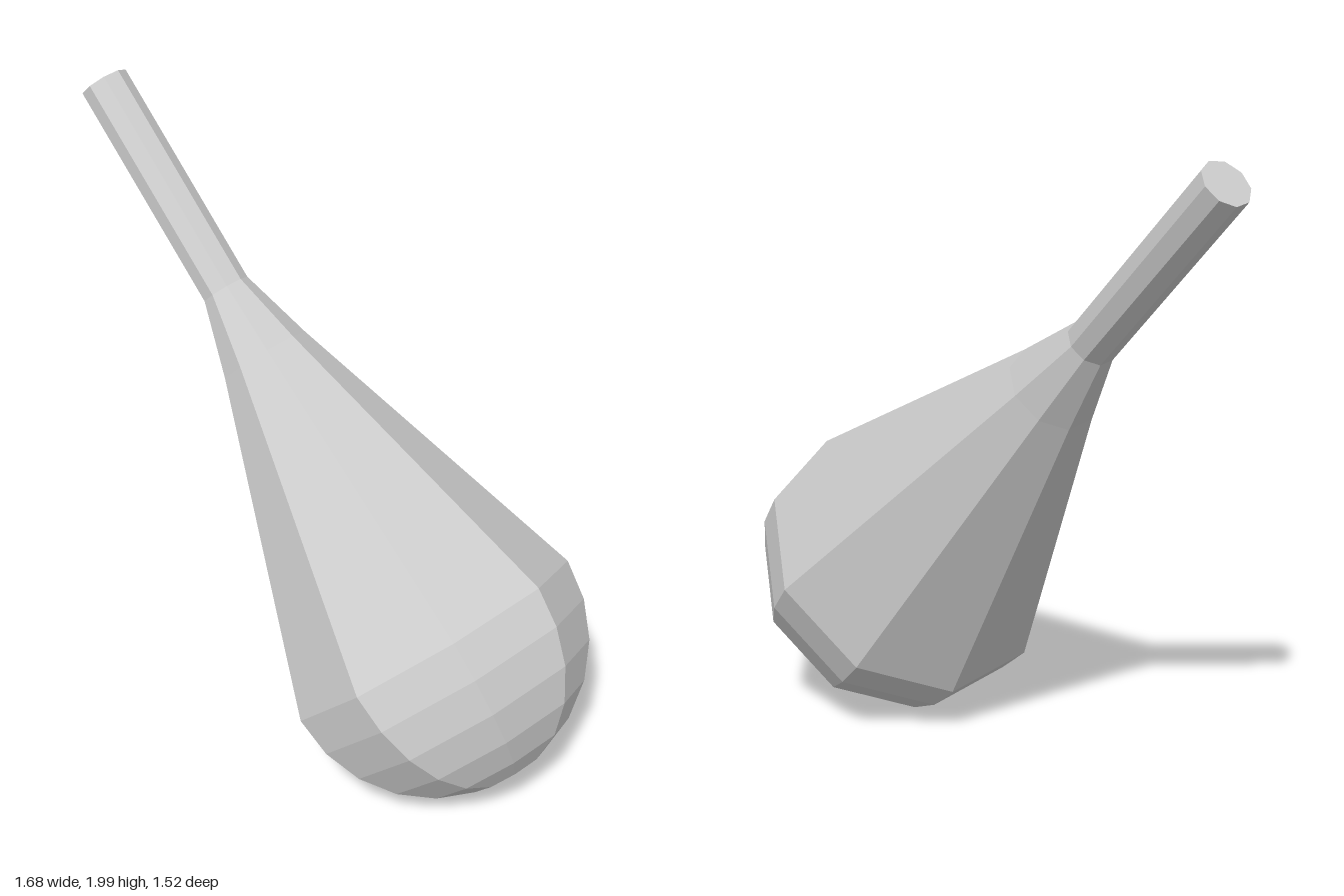
import * as THREE from 'three';

const SIDES = 9;
const RADIUS = 0.5;

export function createModel() {
  const group = new THREE.Group();
  group.name = 'tiltedClub';
  const material = new THREE.MeshStandardMaterial({ color: 0xcccccc, flatShading: true });

  // Each part is a nine-sided turned section; points are [radius, height], bottom to top
  const turned = (name, points) => {
    const profile = points.map(([r, h]) => new THREE.Vector2(r, h));
    const mesh = new THREE.Mesh(new THREE.LatheGeometry(profile, SIDES), material);
    mesh.name = name;
    group.add(mesh);
  };

  // Rounded half-sphere head, with rings every 15 degrees
  const head = [];
  for (let i = 0; i <= 6; i++) {
    const a = (i * Math.PI) / 12;
    head.push([i === 0 ? 0 : RADIUS * Math.sin(a), -RADIUS * Math.cos(a)]);
  }
  head[6][1] = 0;
  turned('roundedHead', head);

  // Long taper, slightly flared where it meets the handle
  turned('taperedNeck', [[RADIUS, 0], [0.15, 1.05], [0.08, 1.294]]);

  // Straight handle with a flat end
  turned('handle', [[0.08, 1.294], [0.08, 2.06], [0, 2.06]]);

  // Lean the axis back and to the right, with one corner of the nine-gon along "corner"
  const axis = new THREE.Vector3(-0.543, 0.698, -0.465).normalize();
  const corner = new THREE.Vector3(0.664, -0.014, -0.784);
  const side = new THREE.Vector3().crossVectors(axis, corner).normalize();
  corner.crossVectors(side, axis);
  group.quaternion.setFromRotationMatrix(new THREE.Matrix4().makeBasis(side, axis, corner));
  group.position.set(0.338, 0.505, 0.272);

  const model = new THREE.Group();
  model.name = 'model';
  model.add(group);
  return model;
}
